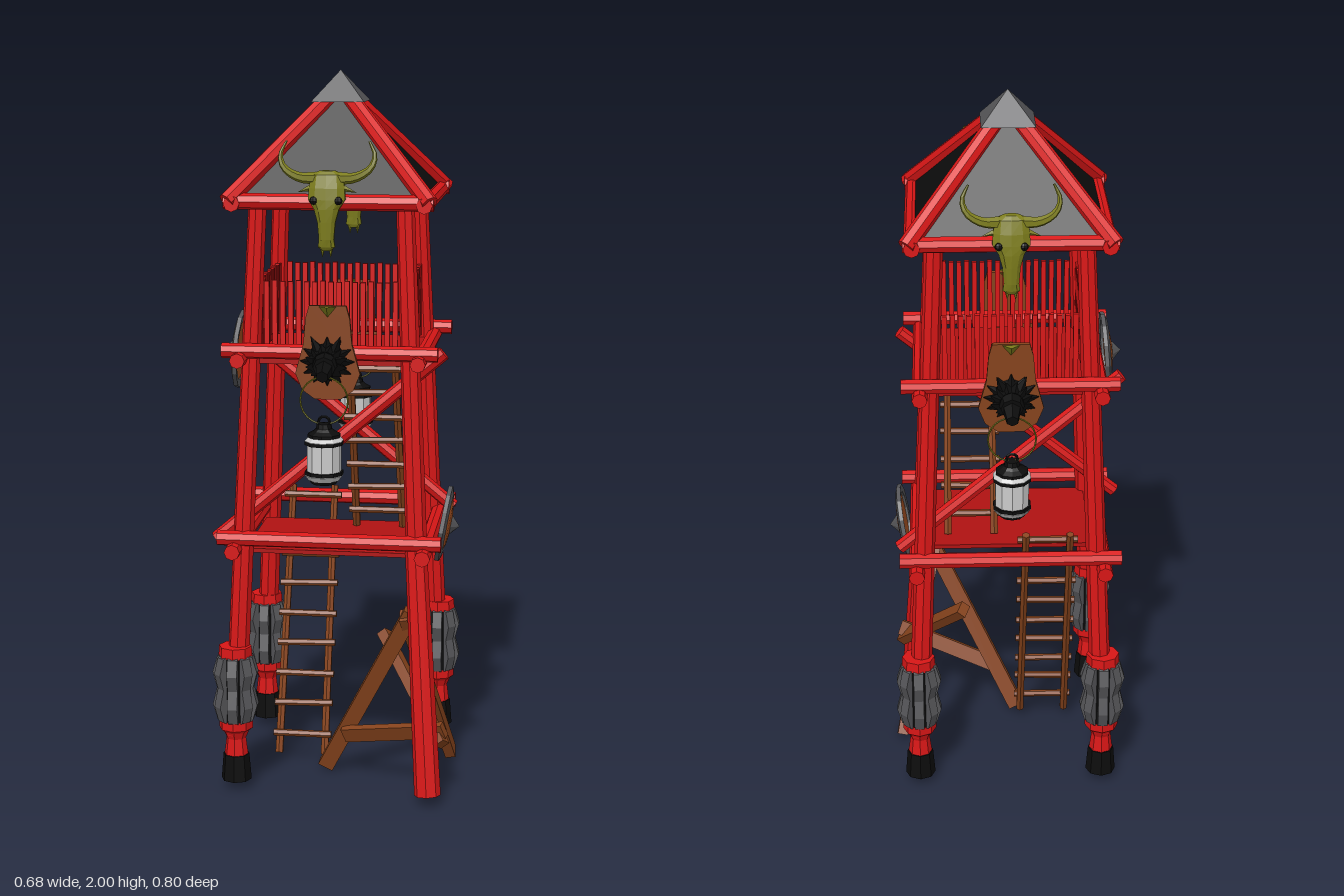
import * as THREE from 'three';

const mat = (c) => new THREE.MeshStandardMaterial({ color: c, flatShading: true, side: THREE.DoubleSide });
const RED = mat(0xd81616), WOOD = mat(0x86431c), BLACK = mat(0x0c0c0c), IRON = mat(0x555558),
  DISC = mat(0xa04e20), BONE = mat(0x7d7d1c), PALE = mat(0xcccccc), FLOOR = mat(0xb01212);
const V = (x, y, z) => new THREE.Vector3(x, y, z);

export function createModel() {
  const root = new THREE.Group();
  root.name = 'watchtower';

  const add = (name, geo, m, parent = root, p = [0, 0, 0], r = [0, 0, 0]) => {
    const o = new THREE.Mesh(geo, m);
    o.name = name;
    o.position.set(...p);
    o.rotation.set(...r);
    parent.add(o);
    return o;
  };
  const group = (name, parent = root) => {
    const g = new THREE.Group();
    g.name = name;
    parent.add(g);
    return g;
  };
  // Places a geometry that runs along y between two points
  const span = (name, a, b, make, m, parent = root) => {
    const A = V(...a), B = V(...b), d = B.clone().sub(A);
    const o = add(name, make(d.length()), m, parent);
    o.position.copy(A).add(B).multiplyScalar(0.5);
    o.quaternion.setFromUnitVectors(V(0, 1, 0), d.normalize());
    return o;
  };
  const beam = (name, a, b, r, m = RED, parent = root, rTop = r, n = 8) =>
    span(name, a, b, (l) => new THREE.CylinderGeometry(rTop, r, l, n), m, parent);
  const plank = (name, a, b, w, t) => span(name, a, b, (l) => new THREE.BoxGeometry(w, l, t), WOOD);
  const lathe = (pts, n) => new THREE.LatheGeometry(pts.map((p) => new THREE.Vector2(...p)), n);
  // Tube that thins out towards its end
  const taper = (pts, r0, r1, n = 10, sides = 6) => {
    const curve = new THREE.CatmullRomCurve3(pts.map((p) => V(...p)));
    const g = new THREE.TubeGeometry(curve, n, 1, sides);
    const pos = g.attributes.position, v = V(0, 0, 0);
    for (let i = 0; i < pos.count; i++) {
      const t = Math.floor(i / (sides + 1)) / n, c = curve.getPointAt(t);
      v.fromBufferAttribute(pos, i).sub(c).multiplyScalar(r0 + (r1 - r0) * t).add(c);
      pos.setXYZ(i, v.x, v.y, v.z);
    }
    return g;
  };

  // Legs: three with iron-clad feet, one kicked out and propped
  const legAt = (y) => 0.272 - 0.072 * (y / 1.66);
  for (const sx of [-1, 1]) for (const sz of [-1, 1]) {
    const at = (y) => [sx * legAt(y), y, sz * legAt(y)];
    if (sx > 0 && sz > 0) {
      beam('leg', at(0.68), at(1.67), 0.03, RED, root, 0.025);
      beam('splayedLeg', [0.285, 0.03, 0.328], [0.238, 0.74, 0.238], 0.037, RED, root, 0.03);
      continue;
    }
    beam('leg', at(0.16), at(1.67), 0.031, RED, root, 0.025);
    const foot = group('legFoot');
    foot.position.set(...at(0.2));
    add('shoe', new THREE.CylinderGeometry(0.037, 0.043, 0.075, 8), BLACK, foot, [0, -0.135, 0]);
    add('ankle', lathe([[0.034, -0.1], [0.028, -0.05], [0.036, -0.03], [0.048, -0.02], [0.048, 0.005], [0.03, 0.005]], 8), RED, foot);
    add('sleeve', new THREE.CylinderGeometry(0.045, 0.047, 0.2, 8), BLACK, foot, [0, 0.1, 0]);
    add('topRing', new THREE.CylinderGeometry(0.046, 0.048, 0.03, 8), RED, foot, [0, 0.205, 0]);
    for (let i = 0; i < 8; i++) {
      const a = i * Math.PI / 4;
      const s = new THREE.Shape([[0.04, 0], [0.05, 0.005], [0.063, 0.05], [0.051, 0.1], [0.063, 0.145], [0.05, 0.19], [0.04, 0.195]].map((p) => new THREE.Vector2(...p)));
      const g = new THREE.ExtrudeGeometry(s, { depth: 0.028, bevelEnabled: false }).translate(0, 0, -0.014);
      add('armourPlate', g, IRON, foot, [0, 0, 0], [0, a, 0]);
    }
  }

  // Rails at the three levels
  const levels = [[0.73, 0.7, 0.262, 0.31, 0.022], [1.253, 1.232, 0.245, 0.295, 0.021], [1.66, 1.655, 0.258, 0.282, 0.022]];
  for (const [yx, yz, off, half, r] of levels) for (const s of [-1, 1]) {
    beam('railAcross', [-half, yx, s * off], [half, yx, s * off], r);
    beam('railDeep', [s * off, yz, -half], [s * off, yz, half], r);
  }
  // Diagonal braces, front and back
  beam('frontBrace', [-0.325, 0.71, 0.195], [0.305, 1.245, 0.165], 0.02);
  beam('backBrace', [-0.305, 1.245, -0.165], [0.31, 0.73, -0.18], 0.02);

  // Floors: the lower one leaves an opening for the ladder
  add('lowerFloor', new THREE.BoxGeometry(0.47, 0.012, 0.35), FLOOR, root, [0, 0.69, 0.065]);
  add('upperFloor', new THREE.BoxGeometry(0.45, 0.014, 0.45), FLOOR, root, [0, 1.222, 0]);

  // Slatted parapet
  for (let side = 0; side < 4; side++) {
    const fence = group('parapet');
    fence.rotation.y = side * Math.PI / 2;
    for (let i = 0; i < 17; i++)
      add('slat', new THREE.BoxGeometry(0.014, 0.2 + 0.006 * (i % 3 === 1), 0.012), RED, fence, [-0.176 + i * 0.022, 1.34, 0.205]);
  }

  // Roof: dark pyramid, hip beams and iron cap
  const pyramid = (half, h) => new THREE.ConeGeometry(half * Math.SQRT2, h, 4, 1, true).rotateY(Math.PI / 4);
  add('roof', pyramid(0.262, 0.3), BLACK, root, [0, 1.81, 0]);
  for (const sx of [-1, 1]) for (const sz of [-1, 1])
    beam('hipBeam', [sx * 0.272, 1.66, sz * 0.272], [sx * 0.01, 1.945, sz * 0.01], 0.024);
  add('roofCap', new THREE.ConeGeometry(0.073 * Math.SQRT2, 0.085, 4).rotateY(Math.PI / 4), IRON, root, [0, 1.9575, 0]);

  // Ladders
  const ladder = (x, a, b, rungs) => {
    const g = group('ladder');
    for (const s of [-1, 1]) beam('ladderPole', [x + s * 0.067, a[0], a[1]], [x + s * 0.062, b[0], b[1]], 0.012, WOOD, g, 0.011, 6);
    for (let i = 0; i < rungs; i++) {
      const t = (i + 0.7) / rungs, y = a[0] + (b[0] - a[0]) * t, z = a[1] + (b[1] - a[1]) * t;
      beam('rung', [x - 0.085, y, z + 0.01], [x + 0.085, y + 0.004 * (i % 2), z + 0.01], 0.01, WOOD, g, 0.01, 6);
    }
  };
  ladder(-0.107, [0.03, 0.06], [0.775, -0.205], 9);
  ladder(0.107, [0.7, -0.05], [1.215, 0.145], 7);

  // Props under the splayed leg
  plank('prop', [-0.03, 0.015, 0.1], [0.23, 0.53, 0.24], 0.045, 0.03);
  plank('prop', [0.32, 0.015, -0.05], [0.21, 0.52, 0.24], 0.03, 0.045);
  plank('propTie', [0.03, 0.13, 0.15], [0.325, 0.2, 0.27], 0.045, 0.02);
  plank('propTie', [0.13, 0.4, 0.03], [0.32, 0.16, 0.275], 0.04, 0.03);

  // Round shields, facing local +y
  const shield = (p, rz) => {
    const g = group('shield');
    g.position.set(...p);
    g.rotation.z = rz;
    add('shieldFace', lathe([[0, 0.022], [0.06, 0.015], [0.1, 0], [0.06, 0.004], [0, 0.008]], 12), DISC, g);
    add('shieldRim', lathe([[0.09, -0.006], [0.09, 0.011], [0.112, 0.004], [0.112, -0.008], [0.09, -0.006]], 12), IRON, g);
    add('shieldBoss', new THREE.ConeGeometry(0.032, 0.028, 8), IRON, g, [0, 0.03, 0]);
  };
  shield([0.298, 0.72, -0.01], -Math.PI / 2 - 0.17);
  shield([-0.278, 1.225, 0.05], Math.PI / 2 - 0.07);

  // Trophies and lanterns, front and back
  for (const turn of [0, Math.PI]) {
    const g = group('endDecoration');
    g.rotation.y = turn;

    // Horned skull: stacked rings squeezed into a long muzzle
    const skull = group('hornedSkull', g);
    const rings = [[1.745, 0.022, 0.012, 0.272], [1.735, 0.045, 0.02, 0.275], [1.7, 0.05, 0.026, 0.28], [1.67, 0.052, 0.026, 0.284],
      [1.645, 0.035, 0.024, 0.288], [1.61, 0.025, 0.02, 0.291], [1.565, 0.021, 0.016, 0.292], [1.545, 0.024, 0.013, 0.291], [1.535, 0.012, 0.008, 0.29]];
    const head = new THREE.CylinderGeometry(1, 1, 1, 10, rings.length - 1);
    const hp = head.attributes.position;
    for (let i = 0; i < hp.count; i++) {
      const [y, w, d, z] = rings[Math.round((0.5 - hp.getY(i)) * (rings.length - 1))];
      hp.setXYZ(i, hp.getX(i) * w, y, z + hp.getZ(i) * d);
    }
    add('skullBone', head, BONE, skull);
    for (const s of [-1, 1]) {
      add('horn', taper([[s * 0.03, 1.725, 0.275], [s * 0.075, 1.728, 0.28], [s * 0.115, 1.752, 0.277], [s * 0.126, 1.785, 0.268], [s * 0.11, 1.822, 0.26]], 0.017, 0.003), BONE, skull);
      add('ear', new THREE.ConeGeometry(0.011, 0.045, 5), BONE, skull, [s * 0.058, 1.695, 0.278], [0, 0, -s * 1.9]);
      add('eyeSocket', new THREE.SphereGeometry(0.011, 8, 6), BLACK, skull, [s * 0.033, 1.668, 0.302]);
      add('tooth', new THREE.ConeGeometry(0.008, 0.03, 5), BONE, skull, [s * 0.011, 1.531, 0.29], [Math.PI, 0, 0]);
    }

    // Wooden plaque with a black maned beast head
    const trophy = group('beastTrophy', g);
    const half = [[0.05, 1.385], [0.06, 1.35], [0.066, 1.28], [0.088, 1.2], [0.07, 1.155], [0.035, 1.13]];
    const outline = [...half, ...half.map(([x, y]) => [-x, y]).reverse()].map((p) => new THREE.Vector2(...p));
    add('plaque', new THREE.ExtrudeGeometry(new THREE.Shape(outline), { depth: 0.014, bevelEnabled: false }), WOOD, trophy, [0, 0, 0.262]);
    add('plaqueCrest', new THREE.ConeGeometry(0.025, 0.03, 4), BONE, trophy, [0, 1.368, 0.275], [Math.PI, 0, 0]);
    for (let ring = 0; ring < 2; ring++) for (let i = 0; i < 12; i++) {
      const a = (i + ring / 2) * Math.PI / 6, r = 0.074 - ring * 0.016, z = 0.285 + ring * 0.02;
      beam('maneTuft', [Math.cos(a) * 0.025, 1.235 + Math.sin(a) * 0.025, z + 0.012],
        [Math.cos(a) * r, 1.235 + Math.sin(a) * r * 0.9, z - 0.005], 0.02, BLACK, trophy, 0.001, 4);
    }
    beam('beastHead', [0, 1.24, 0.27], [0, 1.228, 0.345], 0.048, BLACK, trophy, 0.03);
    beam('beastMuzzle', [0, 1.225, 0.335], [0, 1.21, 0.382], 0.027, BLACK, trophy, 0.017, 6);
    for (const s of [-1, 1]) add('beastEar', new THREE.ConeGeometry(0.014, 0.045, 4), BLACK, trophy, [s * 0.032, 1.29, 0.31], [0.2, 0, -s * 0.4]);

    // Lantern hung from a wire ring
    const lantern = group('lantern', g);
    lantern.position.set(0, 0.99, 0.345);
    add('wireRing', new THREE.TorusGeometry(0.064, 0.0025, 5, 24), BONE, lantern, [0, 0.15, 0]);
    add('lanternHook', new THREE.TorusGeometry(0.015, 0.004, 5, 10), BLACK, lantern, [0, 0.092, 0]);
    add('lanternCap', lathe([[0, 0.09], [0.02, 0.088], [0.022, 0.075], [0.03, 0.068], [0.045, 0.06], [0.045, 0.052], [0, 0.052]], 10), BLACK, lantern);
    add('lanternBody', lathe([[0, 0.055], [0.042, 0.055], [0.053, 0.042], [0.047, 0.03], [0.047, -0.045], [0.053, -0.052], [0.043, -0.066], [0, -0.066]], 10), PALE, lantern);
    for (const y of [0.036, -0.046]) add('lanternBand', new THREE.CylinderGeometry(0.053, 0.053, 0.009, 10), BLACK, lantern, [0, y, 0]);
    add('lanternBase', new THREE.CylinderGeometry(0.042, 0.034, 0.012, 10), BLACK, lantern, [0, -0.07, 0]);
  }
  return root;
}
